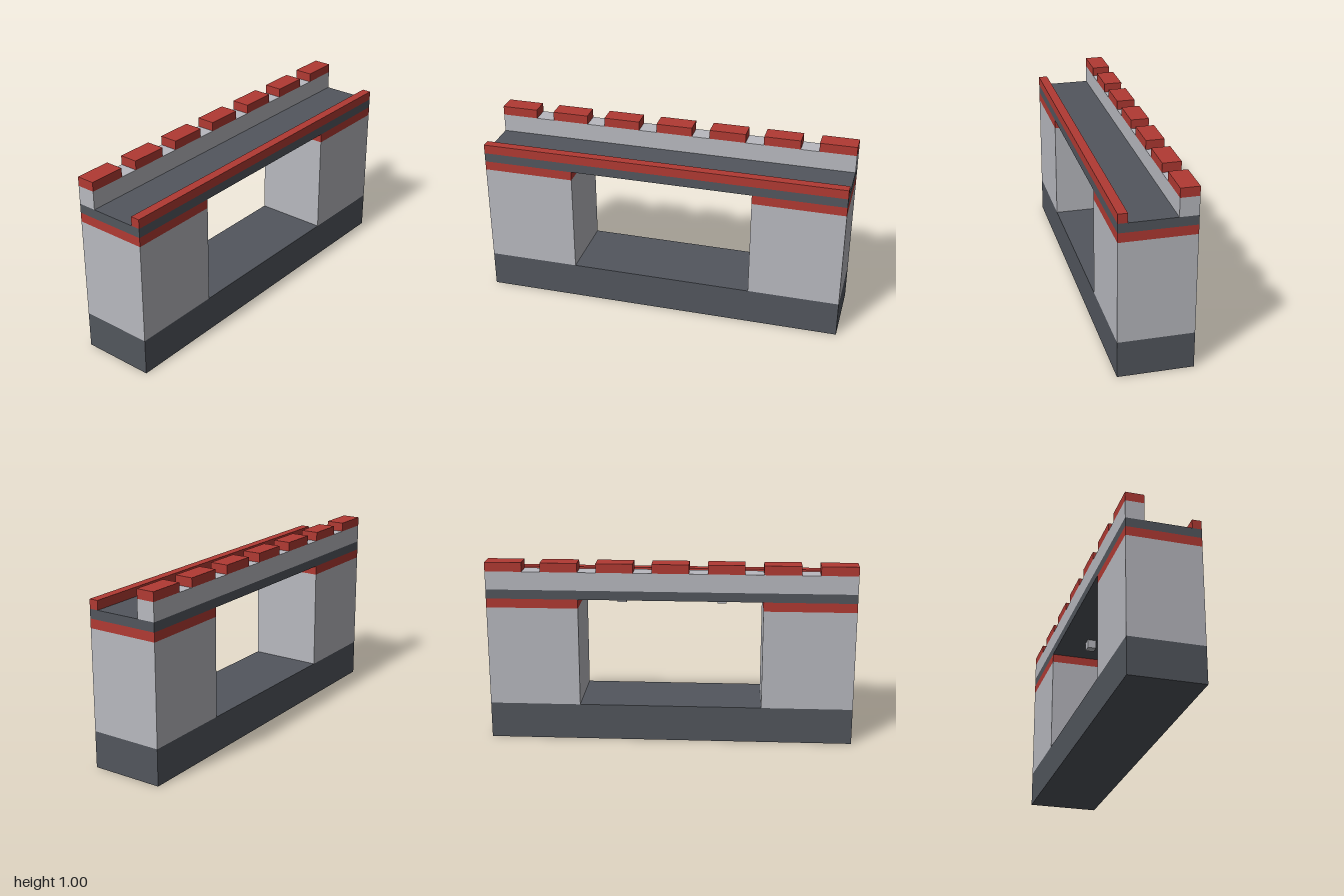
import * as THREE from 'three';

const material = (name, color) => {
  const m = new THREE.MeshStandardMaterial({ color });
  m.name = name;
  return m;
};

export function createModel() {
  const stone = material('lightStone', 0xb8b9bf);
  const slate = material('darkSlate', 0x52565d);
  const red = material('redTrim', 0xb13a33);

  const model = new THREE.Group();
  model.name = 'gateway';

  // Adds a box given its minimum and maximum along each axis
  const addBox = (name, mat, [x0, x1], [y0, y1], [z0, z1]) => {
    const mesh = new THREE.Mesh(new THREE.BoxGeometry(x1 - x0, y1 - y0, z1 - z0), mat);
    mesh.position.set((x0 + x1) / 2, (y0 + y1) / 2, (z0 + z1) / 2);
    mesh.name = name;
    model.add(mesh);
  };

  const width = [-1, 1];
  const depth = [-0.2, 0.2];

  // Plinth and walkway
  addBox('base', slate, width, [0, 0.2], depth);
  addBox('deck', slate, width, [0.8, 0.85], depth);

  // Mirrored piers with red capitals, and lamps hanging under the deck
  for (const [side, s] of [['left', 1], ['right', -1]]) {
    const span = (a, b) => (s > 0 ? [a, b] : [-b, -a]);
    addBox(`${side}Pier`, stone, span(0.5, 1), [0.2, 0.75], depth);
    addBox(`${side}Capital`, red, span(0.5, 1), [0.75, 0.8], depth);
    addBox(`${side}Lamp`, stone, span(0.25, 0.3), [0.75, 0.8], [-0.05, 0]);
  }

  // Low front rail and taller back parapet
  addBox('frontRail', red, width, [0.85, 0.9], [0.15, 0.2]);
  addBox('backParapet', stone, width, [0.85, 0.95], [-0.2, -0.1]);

  // Row of merlons on the parapet
  for (let i = 0; i < 7; i++) {
    const x = (i - 3) * 0.3;
    addBox(`merlon${i + 1}`, red, [x - 0.1, x + 0.1], [0.95, 1], [-0.2, -0.1]);
  }

  return model;
}
